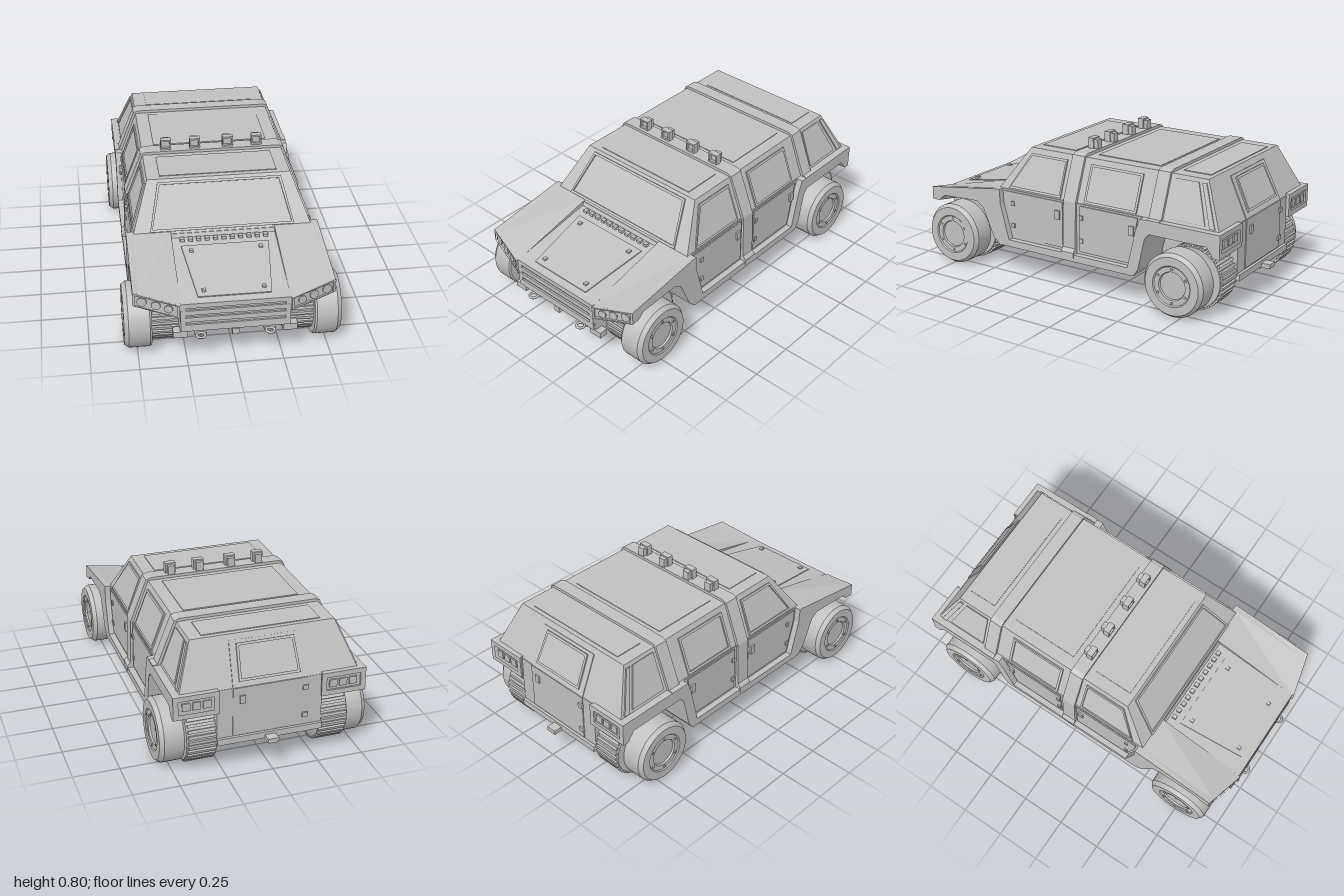
import * as THREE from 'three';
import { toCreasedNormals } from 'three/addons/utils/BufferGeometryUtils.js';

const grey = new THREE.MeshStandardMaterial({ color: 0xc0c0c0 });
grey.name = 'body grey';
const V = (x, y, z) => new THREE.Vector3(x, y, z);
const mix = THREE.MathUtils.lerp;

export function createModel() {
  const model = new THREE.Group();
  model.name = 'offRoadVehicle';

  const add = (name, geo, parent = model) => {
    const m = new THREE.Mesh(geo, grey);
    m.name = name;
    parent.add(m);
    return m;
  };
  const box = (name, w, h, d, x, y, z, parent) => {
    const m = add(name, new THREE.BoxGeometry(w, h, d), parent);
    m.position.set(x, y, z);
    return m;
  };
  const outline = pts => new THREE.Shape(pts.map(p => new THREE.Vector2(p[0], p[1])));
  // Extrude a [z, y] profile sideways from x0 to x1
  const sideways = (pts, x0, x1) => {
    const g = new THREE.ExtrudeGeometry(outline(pts), { depth: x1 - x0, bevelEnabled: false });
    return g.rotateY(-Math.PI / 2).translate(x1, 0, 0);
  };
  // Thin plate (or frame, if border is set) lying on a flat polygon, facing away from the vehicle
  const plate = (name, pts, thick = 0.006, border = 0) => {
    const c = pts.reduce((s, p) => s.add(p), V(0, 0, 0)).divideScalar(pts.length);
    const n = V(0, 0, 0);
    pts.forEach((p, i) => n.add(p.clone().sub(c).cross(pts[(i + 1) % pts.length].clone().sub(c))));
    n.normalize();
    if (n.dot(V(c.x, c.y - 0.3, c.z)) < 0) n.negate();
    const u = Math.abs(n.y) > 0.9 ? V(1, 0, 0) : V(0, 1, 0).cross(n).normalize();
    u.addScaledVector(n, -u.dot(n)).normalize();
    const v = n.clone().cross(u);
    const flat = pts.map(p => [p.clone().sub(c).dot(u), p.clone().sub(c).dot(v)]);
    const shape = outline(flat);
    if (border) {
      const half = k => Math.max(...flat.map(p => Math.abs(p[k])));
      const sx = 1 - border / half(0), sy = 1 - border / half(1);
      shape.holes.push(new THREE.Path(flat.map(p => new THREE.Vector2(p[0] * sx, p[1] * sy))));
    }
    const g = new THREE.ExtrudeGeometry(shape, { depth: thick, bevelEnabled: false });
    g.applyMatrix4(new THREE.Matrix4().makeBasis(u, v, n).setPosition(c));
    return add(name, g);
  };

  // Narrow centre of the body: hull, hood floor and nose
  add('centreBody', sideways([[-0.92, 0.16], [-0.935, 0.2], [-0.935, 0.475], [0.47, 0.475], [0.48, 0.455],
    [0.965, 0.365], [0.965, 0.2], [0.93, 0.17], [0.9, 0.16]], -0.285, 0.285));

  // Body sides with both wheel arches; the outer skin leaves the doors recessed above a sill.
  // The nose is swept back and up towards the outside.
  const arches = [[0.915, 0.42], [0.915, 0.345], [0.88, 0.345], [0.84, 0.38], [0.6, 0.39], [0.555, 0.36],
    [0.485, 0.2], [0.445, 0.16], [-0.445, 0.16], [-0.475, 0.2], [-0.515, 0.38], [-0.54, 0.41], [-0.88, 0.41],
    [-0.92, 0.355], [-0.945, 0.355], [-0.945, 0.485]];
  const innerProfile = [[0.455, 0.485], ...arches];
  const skinProfile = [[0.455, 0.485], ...arches, [-0.485, 0.485], [-0.46, 0.42], [-0.41, 0.2],
    [0.375, 0.2], [0.43, 0.4], [0.435, 0.485]];
  const bodySide = (name, profile, x0, x1) => {
    const g = sideways(profile, x0, x1);
    const p = g.attributes.position;
    for (let i = 0; i < p.count; i++) {
      if (p.getZ(i) < 0.87) continue;
      const t = (0.52 - Math.abs(p.getX(i))) / 0.24;
      p.setY(i, p.getY(i) - 0.06 * t);
      p.setZ(i, p.getZ(i) + 0.06 * t);
    }
    g.computeVertexNormals();
    add(name, g);
  };
  bodySide('leftBodySide', innerProfile, 0.28, 0.486);
  bodySide('rightBodySide', innerProfile, -0.486, -0.28);
  bodySide('leftOuterSkin', skinProfile, 0.486, 0.52);
  bodySide('rightOuterSkin', skinProfile, -0.52, -0.486);

  // Cabin with four sloping sides
  const cabin = new THREE.BoxGeometry(2, 1, 2);
  const cp = cabin.attributes.position;
  for (let i = 0; i < cp.count; i++) {
    const t = cp.getY(i) + 0.5;
    cp.setXYZ(i, cp.getX(i) * mix(0.485, 0.39, t), mix(0.47, 0.72, t),
      cp.getZ(i) > 0 ? mix(0.47, 0.3, t) : mix(-0.935, -0.815, t));
  }
  cabin.computeVertexNormals();
  add('cabin', cabin);
  const up = y => (y - 0.47) / 0.25;
  const onSide = (s, z, y) => V(s * mix(0.485, 0.39, up(y)), y, z);
  const onFront = (x, y) => V(x, y, mix(0.47, 0.3, up(y)));
  const onRear = (x, y) => V(x, y, mix(-0.935, -0.815, up(y)));

  // Raised bands over roof and sides
  const band = (name, half, z0, z1) => {
    const pts = [...half, ...half.map(p => [-p[0], p[1]]).reverse()];
    add(name, new THREE.ExtrudeGeometry(outline(pts), { depth: z1 - z0, bevelEnabled: false }).translate(0, 0, z0));
  };
  const bandTop = [[0.495, 0.49], [0.402, 0.725], [0.375, 0.736]];
  band('middleBand', [[0.523, 0.18], [0.523, 0.21], [0.505, 0.23], ...bandTop], -0.065, 0.015);
  band('rearBand', [[0.522, 0.482], [0.522, 0.488], ...bandTop], -0.6, -0.525);

  // Windscreen, rear door and roof panels
  plate('windscreenFrame', [onFront(-0.39, 0.485), onFront(0.39, 0.485), onFront(0.335, 0.705), onFront(-0.335, 0.705)], 0.008, 0.014);
  plate('rearDoorUpper', [onRear(-0.2, 0.475), onRear(0.2, 0.475), onRear(0.19, 0.69), onRear(-0.19, 0.69)], 0.005);
  plate('rearWindowFrame', [onRear(-0.165, 0.5), onRear(0.165, 0.5), onRear(0.155, 0.675), onRear(-0.155, 0.675)], 0.013, 0.014);
  box('rearDoorLower', 0.4, 0.27, 0.012, 0, 0.34, -0.934);
  box('rearDoorHandle', 0.03, 0.045, 0.012, 0.15, 0.41, -0.943);
  for (const y of [0.26, 0.42]) box('rearDoorHinge', 0.03, 0.025, 0.012, -0.19, y, -0.943);
  for (const [z0, z1] of [[0.05, 0.27], [-0.49, -0.1], [-0.79, -0.63]])
    plate('roofPanel', [V(-0.32, 0.72, z0), V(0.32, 0.72, z0), V(0.32, 0.72, z1), V(-0.32, 0.72, z1)], 0.004);

  // Doors, side windows and lamp clusters on both sides
  for (const s of [1, -1]) {
    const side = (name, pts, thick, border) => plate(name, pts.map(([z, y]) => onSide(s, z, y)), thick, border);
    const door = (name, pts) => plate(name, pts.map(([z, y]) => V(s * 0.486, y, z)), 0.006);
    side('frontWindowFrame', [[0.395, 0.49], [0.285, 0.69], [0.045, 0.69], [0.045, 0.49]], 0.008, 0.014);
    side('rearSideWindowFrame', [[-0.11, 0.49], [-0.11, 0.69], [-0.44, 0.69], [-0.44, 0.49]], 0.008, 0.014);
    side('quarterPanel', [[-0.62, 0.5], [-0.62, 0.7], [-0.765, 0.7], [-0.845, 0.5]], 0.006);
    side('rearCornerRail', [[-0.785, 0.7], [-0.81, 0.7], [-0.905, 0.49], [-0.875, 0.49]], 0.008);
    door('frontDoor', [[0.42, 0.475], [0.415, 0.4], [0.365, 0.215], [0.025, 0.215], [0.025, 0.475]]);
    door('rearDoor', [[-0.085, 0.475], [-0.085, 0.215], [-0.4, 0.215], [-0.445, 0.42], [-0.455, 0.475]]);
    for (const z of [0.055, -0.42]) box('doorHandle', 0.014, 0.05, 0.03, s * 0.495, 0.4, z);
    for (const z of [0.36, -0.1]) for (const y of [0.28, 0.41]) box('doorHinge', 0.012, 0.025, 0.02, s * 0.493, y, z);

    // Headlamps on the swept nose
    const nose = (x, y) => V(s * x, y, 0.915 + (0.52 - x) / 4);
    plate('headlampFrame', [nose(0.285, 0.287), nose(0.52, 0.345), nose(0.52, 0.42), nose(0.285, 0.361)], 0.01, 0.013);
    for (const [x, y, r] of [[0.475, 0.369, 0.025], [0.405, 0.352, 0.024], [0.342, 0.336, 0.022]]) {
      const lamp = add('headlamp', new THREE.CylinderGeometry(r, r, 0.014, 20).rotateX(Math.PI / 2));
      lamp.position.copy(nose(x, y));
      lamp.rotation.y = s * Math.atan2(0.06, 0.24);
    }

    // Rear lamp boxes
    const q = (x, y) => V(s * x, y, -0.945);
    plate('rearLampFrame', [q(0.275, 0.355), q(0.52, 0.355), q(0.52, 0.485), q(0.275, 0.485)], 0.01, 0.028);
    for (const x of [0.34, 0.395, 0.45]) box('rearLamp', 0.042, 0.042, 0.01, s * x, 0.42, -0.948);

    // Tow hooks and bumper ends
    const hook = add('towHook', new THREE.TorusGeometry(0.022, 0.007, 8, 20).rotateX(Math.PI / 2));
    hook.position.set(s * 0.18, 0.167, 0.971);
    box('hookBracket', 0.06, 0.028, 0.06, s * 0.18, 0.17, 0.92);
    box('bumperEnd', 0.075, 0.035, 0.05, s * 0.285, 0.173, 0.94);
  }
  box('bumperCentre', 0.035, 0.035, 0.05, 0, 0.173, 0.945);
  box('rearHitch', 0.06, 0.025, 0.09, 0, 0.17, -0.955);
  box('rearBumper', 0.57, 0.035, 0.03, 0, 0.18, -0.935);

  // Grille
  for (const y of [0.352, 0.31, 0.268, 0.218]) box('grilleSlat', 0.56, y < 0.25 ? 0.04 : 0.027, 0.016, 0, y, 0.967);
  for (const s of [1, -1]) box('grilleEdge', 0.027, 0.165, 0.015, s * 0.27, 0.283, 0.967);

  // Hood hatch, latches and vents
  const hood = (x, z) => V(x, 0.455 - (z - 0.48) * 0.09 / 0.485, z);
  plate('hoodHatch', [hood(-0.235, 0.55), hood(0.235, 0.55), hood(0.19, 0.93), hood(-0.19, 0.93)], 0.006);
  for (const s of [1, -1]) for (const [x, z] of [[0.185, 0.595], [0.155, 0.89]]) {
    const p = hood(s * x, z);
    box('hoodLatch', 0.02, 0.012, 0.022, p.x, p.y + 0.009, z);
  }
  for (let i = 0; i < 11; i++) box('hoodVent', 0.024, 0.016, 0.024, -0.225 + i * 0.045, 0.458, 0.505);

  // Roof lamps: open square housings with recessed lenses
  for (const x of [-0.257, -0.095, 0.09, 0.253]) {
    const g = new THREE.Group();
    g.name = 'roofLamp';
    g.position.set(x, 0.766, -0.02);
    model.add(g);
    for (const s of [1, -1]) {
      box('lampWall', 0.009, 0.058, 0.035, s * 0.025, 0, 0, g);
      box('lampRim', 0.058, 0.009, 0.035, 0, s * 0.0245, 0, g);
    }
    box('lampLens', 0.045, 0.045, 0.02, 0, 0, -0.007, g);
    box('lampBack', 0.04, 0.05, 0.025, 0, -0.004, -0.028, g);
  }

  // Wheels: flat-faced outer tyre with hub, and a lugged inner drum closed by a cone
  const profile = pts => toCreasedNormals(new THREE.LatheGeometry(pts.map(p => new THREE.Vector2(p[0], p[1])), 48), 0.3);
  const tyre = profile([[0, 0.425], [0.168, 0.425], [0.175, 0.435], [0.175, 0.545], [0.158, 0.568],
    [0.112, 0.568], [0.106, 0.562], [0.078, 0.562], [0.074, 0.552], [0, 0.552]]);
  const drum = profile([[0, 0.17], [0.168, 0.28], [0.168, 0.44], [0, 0.44]]);
  for (const s of [1, -1]) for (const [name, z] of [['frontWheel', 0.748], ['rearWheel', -0.708]]) {
    const wheel = new THREE.Group();
    wheel.name = name;
    wheel.position.set(0, 0.175, z);
    wheel.rotation.z = -s * Math.PI / 2;
    model.add(wheel);
    add('tyre', tyre, wheel);
    for (let i = 0; i < 6; i++) {
      const a = i * Math.PI / 3;
      const bolt = add('wheelBolt', new THREE.CylinderGeometry(0.007, 0.007, 0.01, 8), wheel);
      bolt.position.set(0.093 * Math.cos(a), 0.563, 0.093 * Math.sin(a));
    }
    const inner = new THREE.Group();
    inner.name = 'innerDrum';
    inner.position.set(-s * 0.017, 0, -0.046);
    wheel.add(inner);
    add('drum', drum, inner);
    for (let i = 0; i < 36; i++) {
      const a = i * Math.PI / 18;
      const lug = box('treadLug', 0.02, 0.15, 0.016, 0.17 * Math.cos(a), 0.357, 0.17 * Math.sin(a), inner);
      lug.rotation.y = -a;
    }
  }
  return model;
}
